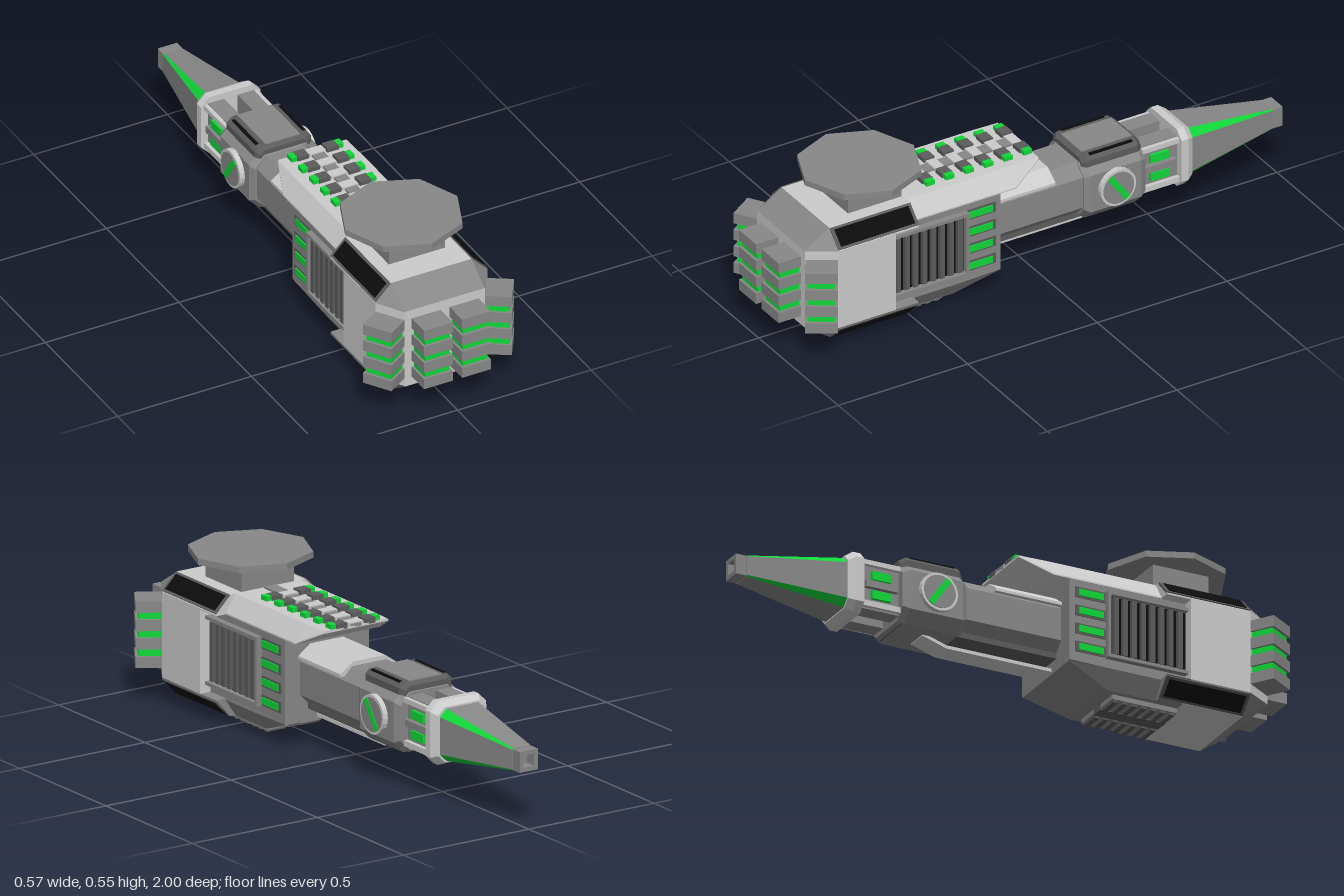
import * as THREE from 'three';

const paint = (color) => new THREE.MeshStandardMaterial({ color, flatShading: true });
const LIGHT = paint(0xcccccc), MID = paint(0x888888), DARK = paint(0x5c5c5c);
const BLACK = paint(0x0c0c0c), GREEN = paint(0x10d838);
const ALL = [0, 1, 2, 3, 4, 5, 6, 7];

// Eight-sided section: half width, bottom, top, corner cut in x, corner cuts at bottom and top
function ring(z, hw, y0, y1, cx = 0, cb = 0, ct = cb) {
  const t = ct ? hw - cx : hw, b = cb ? hw - cx : hw;
  return [[hw, y0 + cb], [hw, y1 - ct], [t, y1], [-t, y1], [-hw, y1 - ct], [-hw, y0 + cb], [-b, y0], [b, y0]]
    .map(([x, y]) => [x, y, z]);
}

// Skin between sections ordered front to back; sides: 0 right, 2 top, 4 left, 6 bottom, odd = corners
function loft(rings, sides = ALL, caps = true) {
  const p = [];
  for (let k = 0; k < rings.length - 1; k++) {
    const a = rings[k], b = rings[k + 1];
    for (const i of sides) {
      const j = (i + 1) % 8;
      p.push(...a[i], ...b[i], ...b[j], ...a[i], ...b[j], ...a[j]);
    }
  }
  if (caps) {
    const f = rings[0], r = rings[rings.length - 1];
    for (let i = 1; i < 7; i++) p.push(...f[0], ...f[i], ...f[i + 1], ...r[0], ...r[i + 1], ...r[i]);
  }
  const g = new THREE.BufferGeometry();
  g.setAttribute('position', new THREE.Float32BufferAttribute(p, 3));
  g.computeVertexNormals();
  return g;
}

function add(parent, name, geometry, material, x = 0, y = 0, z = 0) {
  const m = new THREE.Mesh(geometry, material);
  m.name = name;
  m.position.set(x, y, z);
  parent.add(m);
  return m;
}

// Box given by its limits on each axis
function box(parent, name, material, [x0, x1], [y0, y1], [z0, z1]) {
  return add(parent, name, new THREE.BoxGeometry(x1 - x0, y1 - y0, z1 - z0), material,
    (x0 + x1) / 2, (y0 + y1) / 2, (z0 + z1) / 2);
}
const span = (s, a, b) => (s > 0 ? [a, b] : [-b, -a]);

function group(parent, name) {
  const g = new THREE.Group();
  g.name = name;
  parent.add(g);
  return g;
}

// Vent block of stacked slabs with glowing gaps, facing +z from z = 0
function ventBlock(parent, name) {
  const g = group(parent, name);
  box(g, 'ventGlow', GREEN, [-0.046, 0.046], [0.13, 0.34], [-0.02, 0.078]);
  for (let i = 0; i < 4; i++) {
    const y = 0.122 + i * 0.0635;
    box(g, 'ventSlab', MID, [-0.054, 0.054], [y, y + 0.039], [-0.02, 0.088]);
  }
  return g;
}

function buildHull(root) {
  const g = group(root, 'hull');
  const nose = ring(0.914, 0.15, 0.09, 0.385, 0.002, 0.002);
  const full = (z) => ring(z, 0.21, 0.025, 0.445, 0.06, 0.065, 0.06);
  add(g, 'frontCheeks', loft([nose, full(0.82)], [0, 4]), LIGHT);
  add(g, 'frontSlopes', loft([nose, full(0.82)], [1, 2, 3, 5, 6, 7], false), MID);
  add(g, 'frontHull', loft([full(0.82), full(0.6)]), LIGHT);
  // Wide shoulders reach past the side recess
  add(g, 'upperShoulder', loft([ring(0.6, 0.21, 0.38, 0.445, 0.06, 0, 0.06), ring(0.51, 0.21, 0.38, 0.445, 0.06, 0, 0.06)]), LIGHT);
  add(g, 'lowerShoulder', loft([ring(0.6, 0.21, 0.025, 0.09, 0.06, 0.065, 0), ring(0.51, 0.21, 0.025, 0.09, 0.06, 0.065, 0)]), MID);
  // Rear core, overhanging roof and rising keel
  add(g, 'rearHull', loft([ring(0.6, 0.168, 0.09, 0.385), ring(0.17, 0.168, 0.09, 0.385)]), MID);
  add(g, 'roof', loft([
    ring(0.51, 0.17, 0.38, 0.445, 0.04, 0, 0.06), ring(0.11, 0.17, 0.38, 0.445, 0.04, 0, 0.06),
    ring(0, 0.13, 0.437, 0.445, 0.004, 0, 0.004)]), LIGHT);
  add(g, 'keel', loft([
    ring(0.51, 0.17, 0.025, 0.092, 0.04, 0.06, 0), ring(0.33, 0.17, 0.025, 0.092, 0.04, 0.06, 0),
    ring(0.17, 0.168, 0.084, 0.092, 0.004, 0.004, 0)]), MID);

  for (const s of [-1, 1]) {
    // Black panels on the sloping corners
    for (const [y, turn] of [[0.415, -s], [0.0575, s]]) {
      add(g, 'panelFrame', new THREE.BoxGeometry(0.08, 0.008, 0.31), DARK, s * 0.18, y, 0.665).rotation.z = turn * Math.PI / 4;
      add(g, 'blackPanel', new THREE.BoxGeometry(0.062, 0.014, 0.285), BLACK, s * 0.18, y, 0.665).rotation.z = turn * Math.PI / 4;
    }
    // Side grille
    box(g, 'grilleBack', BLACK, span(s, 0.165, 0.17), [0.13, 0.345], [0.315, 0.6]);
    for (let i = 0; i < 8; i++) {
      const z = 0.335 + i * 0.034;
      box(g, 'grilleBar', DARK, span(s, 0.168, 0.185), [0.135, 0.34], [z - 0.009, z + 0.009]);
    }
    box(g, 'grilleRail', MID, span(s, 0.165, 0.19), [0.345, 0.357], [0.305, 0.6]);
    box(g, 'grilleRail', MID, span(s, 0.165, 0.19), [0.118, 0.13], [0.305, 0.6]);
    box(g, 'grillePost', MID, span(s, 0.165, 0.19), [0.118, 0.357], [0.303, 0.315]);
    for (let i = 0; i < 4; i++) {
      const y = 0.14 + i * 0.0655;
      box(g, 'sideLightFrame', DARK, span(s, 0.16, 0.171), [y - 0.019, y + 0.019], [0.19, 0.302]);
      box(g, 'sideLight', GREEN, span(s, 0.16, 0.175), [y - 0.012, y + 0.012], [0.203, 0.295]);
    }
    // Front vents: one straight, one turned onto the cheek
    ventBlock(g, 'frontVent').position.set(s * 0.071, 0, 0.912);
    const cheek = ventBlock(g, 'cheekVent');
    cheek.position.set(s * 0.18, 0, 0.867);
    cheek.rotation.y = s * Math.atan2(0.094, 0.06);
    // Belly vents
    box(g, 'bellyVent', MID, span(s, 0.025, 0.11), [0.008, 0.03], [0.36, 0.6]);
    for (let i = 0; i < 7; i++) {
      const z = 0.375 + i * 0.035;
      box(g, 'bellySlat', DARK, span(s, 0.03, 0.105), [0, 0.01], [z - 0.009, z + 0.009]);
    }
  }
  box(g, 'bellyRib', DARK, [-0.025, 0.025], [0.004, 0.03], [0.36, 0.6]);
}

function buildRoofGear(root) {
  const g = group(root, 'roofGear');
  box(g, 'dishNeck', MID, [-0.105, 0.105], [0.44, 0.532], [0.513, 0.72]);
  add(g, 'dish', new THREE.CylinderGeometry(0.21, 0.21, 0.022, 8), MID, 0, 0.542, 0.612);
  // Spine with rows of lit ribs
  box(g, 'spine', MID, [-0.022, 0.022], [0.44, 0.452], [0, 0.5]);
  for (let i = 0; i < 6; i++) {
    const z = 0.02 + i * 0.075;
    box(g, 'spineRib', LIGHT, [-0.03, 0.03], [0.44, 0.456], [z - 0.018, z + 0.018]);
    for (const s of [-1, 1]) {
      box(g, 'roofRib', DARK, span(s, 0.035, 0.077), [0.44, 0.46], [z - 0.02, z + 0.02]);
      box(g, 'roofLight', GREEN, span(s, 0.076, 0.097), [0.44, 0.461], [z - 0.016, z + 0.016]);
    }
  }
}

function buildBarrel(root) {
  const g = group(root, 'barrel');
  add(g, 'barrelBody', loft([ring(0.18, 0.108, 0.14, 0.335, 0.04, 0.04), ring(-0.2, 0.108, 0.14, 0.335, 0.04, 0.04)]), MID);
  add(g, 'barrelCover', loft([ring(0.18, 0.115, 0.305, 0.35, 0.05, 0, 0.035), ring(-0.075, 0.115, 0.305, 0.35, 0.05, 0, 0.035)]), LIGHT);
  box(g, 'barrelUnderside', DARK, [-0.075, 0.075], [0.127, 0.17], [-0.41, 0.17]);
  add(g, 'lowerRail', loft([ring(0.18, 0.04, 0.094, 0.106), ring(-0.22, 0.04, 0.094, 0.106), ring(-0.31, 0.04, 0.122, 0.134)]), LIGHT);
  // Joint block with cap and side dials
  add(g, 'jointBlock', loft([
    ring(-0.185, 0.115, 0.135, 0.335, 0.04, 0.04), ring(-0.205, 0.127, 0.125, 0.345, 0.04, 0.04),
    ring(-0.4, 0.127, 0.125, 0.345, 0.04, 0.04), ring(-0.422, 0.115, 0.135, 0.335, 0.04, 0.04)]), MID);
  add(g, 'jointCap', loft([
    ring(-0.19, 0.09, 0.325, 0.355, 0.015, 0, 0.015), ring(-0.205, 0.105, 0.325, 0.365, 0.015, 0, 0.015),
    ring(-0.4, 0.105, 0.325, 0.365, 0.015, 0, 0.015), ring(-0.418, 0.09, 0.325, 0.355, 0.015, 0, 0.015)]), DARK);
  box(g, 'capPlate', MID, [-0.065, 0.065], [0.35, 0.369], [-0.4, -0.205]);
  for (const s of [-1, 1]) {
    box(g, 'capSlot', BLACK, span(s, 0.082, 0.093), [0.355, 0.367], [-0.385, -0.22]);
    const dial = group(g, 'dial');
    dial.position.set(s * 0.13, 0.24, -0.3);
    add(dial, 'dialRim', new THREE.CylinderGeometry(0.068, 0.068, 0.03, 24), LIGHT).rotation.z = Math.PI / 2;
    add(dial, 'dialFace', new THREE.CylinderGeometry(0.059, 0.059, 0.034, 24), MID).rotation.z = Math.PI / 2;
    add(dial, 'dialLight', new THREE.BoxGeometry(0.038, 0.115, 0.022), GREEN).rotation.x = 0.62;
    // Twin struts with lit windows
    const strut = group(g, 'strut');
    box(strut, 'strutBody', MID, span(s, 0.025, 0.085), [0.15, 0.325], [-0.575, -0.41]);
    box(strut, 'strutRail', LIGHT, span(s, 0.08, 0.1), [0.305, 0.322], [-0.57, -0.42]);
    box(strut, 'strutRail', LIGHT, span(s, 0.08, 0.1), [0.155, 0.175], [-0.57, -0.42]);
    box(strut, 'strutBar', MID, span(s, 0.08, 0.102), [0.225, 0.25], [-0.55, -0.43]);
    for (const y of [0.203, 0.272]) box(strut, 'strutLight', GREEN, span(s, 0.08, 0.096), [y - 0.015, y + 0.015], [-0.525, -0.455]);
  }
}

function buildMuzzle(root) {
  const g = group(root, 'muzzle');
  add(g, 'collar', loft([
    ring(-0.563, 0.112, 0.13, 0.348, 0.03, 0.03), ring(-0.59, 0.112, 0.13, 0.348, 0.03, 0.03),
    ring(-0.615, 0.096, 0.143, 0.333, 0.026, 0.026)]), LIGHT);
  const cone = [ring(-0.612, 0.09, 0.147, 0.328, 0.026, 0.026), ring(-0.96, 0.038, 0.198, 0.274, 0.004, 0.004)];
  add(g, 'cone', loft(cone, [0, 2, 4, 6]), MID);
  add(g, 'coneLights', loft(cone, [1, 3, 5, 7], false), GREEN);
  // Open square tip
  const square = (Type, h) => new Type([[-h, -h], [h, -h], [h, h], [-h, h]].map(([x, y]) => new THREE.Vector2(x, y)));
  const tip = square(THREE.Shape, 0.036);
  tip.holes.push(square(THREE.Path, 0.021));
  add(g, 'tip', new THREE.ExtrudeGeometry(tip, { depth: 0.042, bevelEnabled: false }), MID, 0, 0.236, -1);
}

export function createModel() {
  const root = new THREE.Group();
  root.name = 'model';
  buildHull(root);
  buildRoofGear(root);
  buildBarrel(root);
  buildMuzzle(root);
  return root;
}
